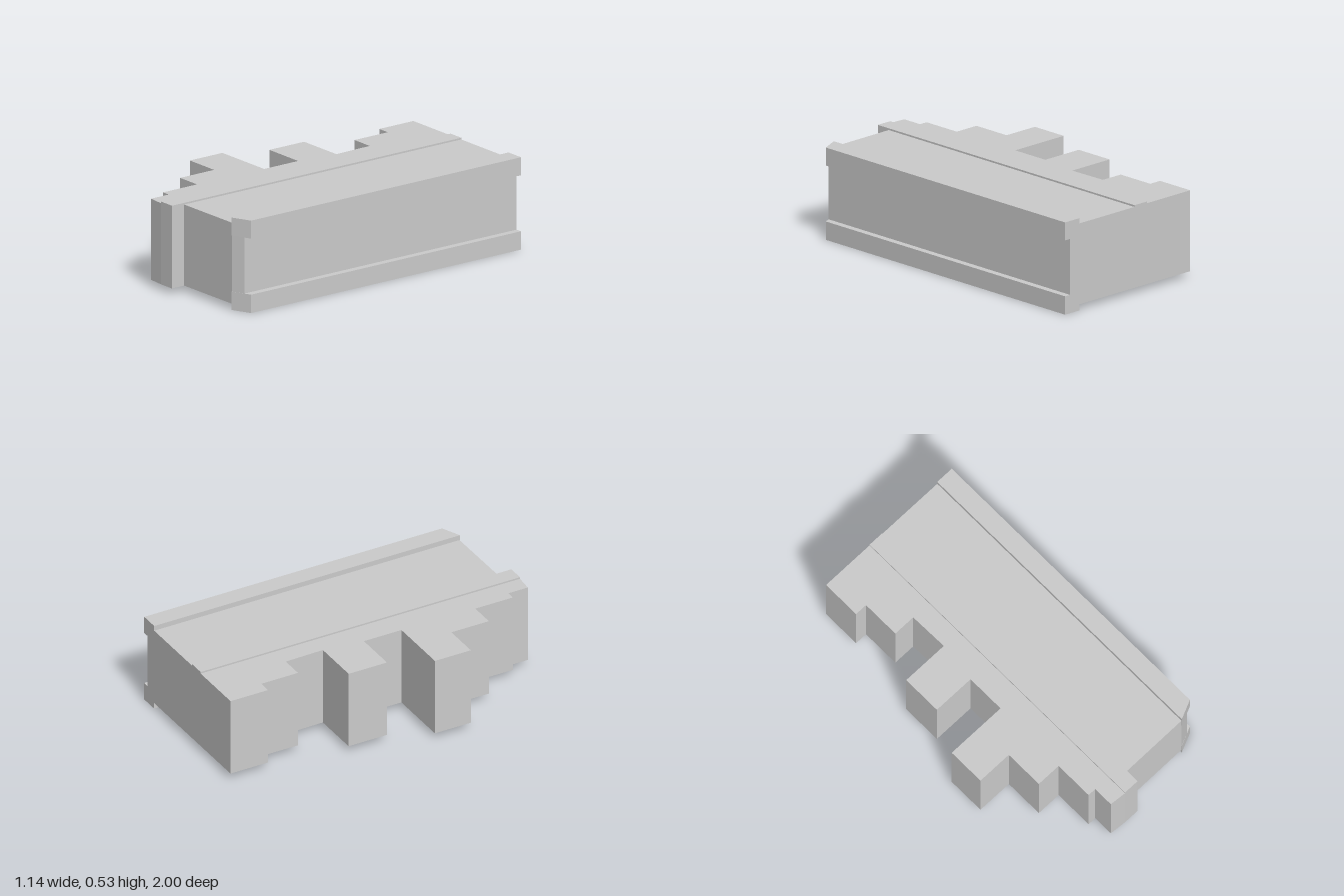
import * as THREE from 'three';

const grey = new THREE.MeshStandardMaterial({ color: 0xcccccc, flatShading: true, side: THREE.DoubleSide });

// Plan outline given as [x, z]; z is negated so that rotating the shape flat keeps it facing up
const planShape = (pts) => new THREE.Shape(pts.map(([x, z]) => new THREE.Vector2(x, -z)));

function add(group, name, geometry) {
  const mesh = new THREE.Mesh(geometry, grey);
  mesh.name = name;
  group.add(mesh);
}

// Solid block raised from a plan outline
function block(pts, y0, y1) {
  const g = new THREE.ExtrudeGeometry(planShape(pts), { depth: y1 - y0, bevelEnabled: false });
  return g.rotateX(-Math.PI / 2).translate(0, y0, 0);
}

// Upright thin walls following a closed plan outline
function walls(pts, y0, y1) {
  const pos = [];
  pts.forEach(([ax, az], i) => {
    const [bx, bz] = pts[(i + 1) % pts.length];
    pos.push(ax, y0, az, bx, y0, bz, bx, y1, bz, ax, y0, az, bx, y1, bz, ax, y1, az);
  });
  const g = new THREE.BufferGeometry();
  g.setAttribute('position', new THREE.Float32BufferAttribute(pos, 3));
  g.computeVertexNormals();
  return g;
}

export function createModel() {
  const group = new THREE.Group();
  group.name = 'steppedShell';
  const bottom = 0.035, top = 0.498;

  // Stepped outline on the -x side, chamfered corner at the front of the +x side
  const outline = [
    [-0.385, -1], [-0.385, -0.765], [-0.31, -0.765], [-0.31, -0.535],
    [-0.175, -0.535], [-0.17, -0.3], [-0.455, -0.3], [-0.455, -0.06],
    [-0.2, -0.06], [-0.2, 0.175], [-0.57, 0.175], [-0.57, 0.4],
    [-0.355, 0.4], [-0.355, 0.635], [-0.205, 0.635], [-0.205, 0.87],
    [-0.155, 0.87], [-0.155, 0.992], [-0.055, 1], [0.04, 1],
    [0.04, 0.915], [0.46, 0.912], [0.53, 0.882], [0.53, -1],
  ];

  // Hollow body, open underneath
  add(group, 'bodyWalls', walls(outline, bottom, top));
  add(group, 'bodyRoof', new THREE.ShapeGeometry(planShape(outline)).rotateX(-Math.PI / 2).translate(0, top, 0));

  // Low strip running along the roof
  add(group, 'roofStrip', block([[-0.055, -1], [-0.055, 1], [0.04, 1], [0.04, -1]], top, 0.508));

  // Upper and lower rails on the +x side, with chamfered front ends
  const rail = [[0.458, -1], [0.458, 0.915], [0.568, 0.865], [0.568, -1]];
  add(group, 'lowerRail', block(rail, 0, 0.105));
  add(group, 'upperRail', block(rail, 0.425, 0.528));

  return group;
}
